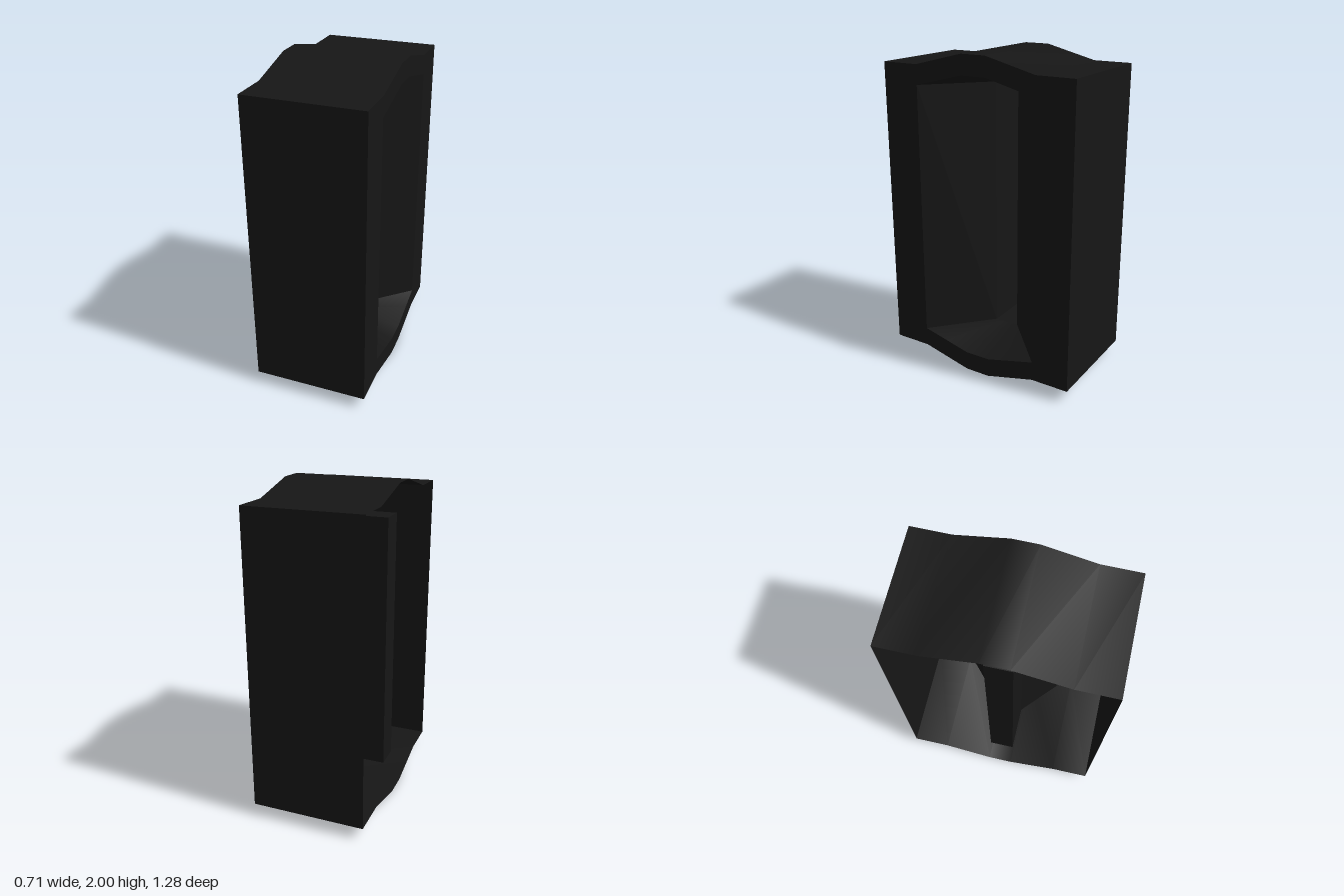
import * as THREE from 'three';
import { toCreasedNormals } from 'three/addons/utils/BufferGeometryUtils.js';

const material = new THREE.MeshStandardMaterial({ color: 0x161616, side: THREE.DoubleSide });

// Twelve-point ring in the plane x, from three [z, height] points of one bottom quarter
function ring(x, quarter) {
  const mirrored = [...quarter].reverse();
  const at = (z, y) => [x, y, z];
  return [
    ...quarter.map(([z, y]) => at(z, y)),
    ...mirrored.map(([z, y]) => at(-z, y)),
    ...quarter.map(([z, y]) => at(-z, 2 - y)),
    ...mirrored.map(([z, y]) => at(z, 2 - y)),
  ];
}

// Skin between successive rings, with an optional flat cap on the last one
function loft(name, rings, capped = false) {
  const points = [];
  const quad = (a, b, c, d) => points.push(a, b, c, a, c, d);
  for (let r = 0; r + 1 < rings.length; r++) {
    const a = rings[r], b = rings[r + 1];
    for (let i = 0; i < 12; i++) {
      const j = (i + 1) % 12;
      quad(a[i], a[j], b[j], b[i]);
    }
  }
  if (capped) {
    const e = rings[rings.length - 1];
    for (let i = 0; i < 5; i++) quad(e[i], e[i + 1], e[10 - i], e[11 - i]);
  }
  const geometry = new THREE.BufferGeometry();
  geometry.setAttribute('position', new THREE.Float32BufferAttribute(points.flat(), 3));
  const mesh = new THREE.Mesh(toCreasedNormals(geometry, 0.5), material);
  mesh.name = name;
  return mesh;
}

export function createModel() {
  const group = new THREE.Group();
  group.name = 'housing';

  const outline = [[0.64, 0.08], [0.4, 0.08], [0.08, 0]];
  const opening = [[0.4, 0.2], [0.24, 0.16], [0.08, 0.12]];
  const slot = [[0.08, 0.2], [0.055, 0.2], [0.03, 0.2]];

  const outerBack = ring(-0.355, outline);
  const outerFace = ring(0.355, outline);
  const innerFace = ring(0.355, opening);

  // Thin outer wall, humped at top and bottom and open on one side
  group.add(loft('outerShell', [outerBack, outerFace]));
  // Flat border around the opening
  group.add(loft('rim', [outerFace, innerFace]));
  // Flared mouth narrowing to a blind slot
  group.add(loft('flaredMouth', [innerFace, ring(0, slot)]));
  group.add(loft('slot', [ring(0, slot), ring(-0.29, slot)], true));

  return group;
}
